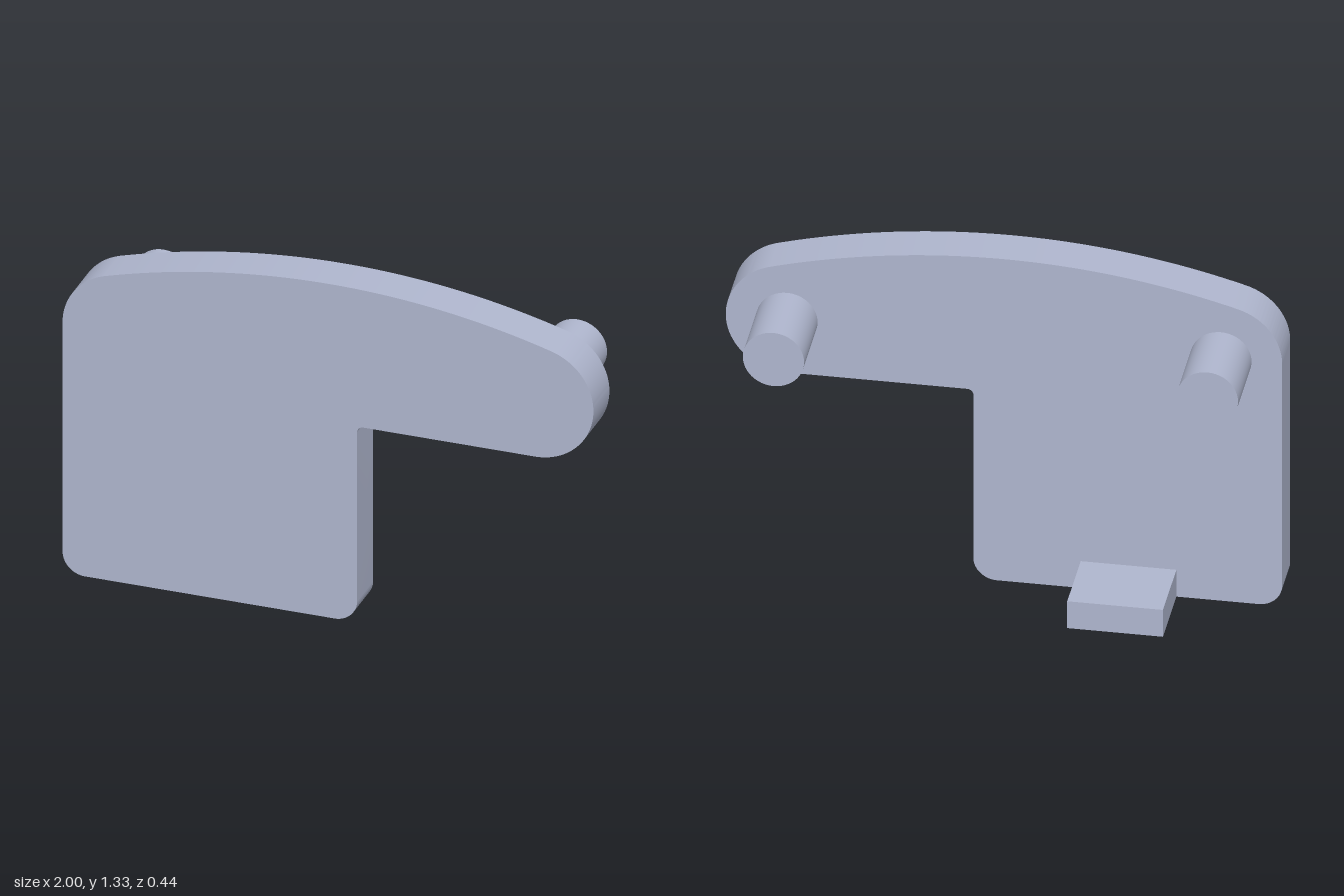
import * as THREE from 'three';
import { toCreasedNormals } from 'three/addons/utils/BufferGeometryUtils.js';

export function createModel() {
  const group = new THREE.Group();
  const material = new THREE.MeshStandardMaterial({ color: 0xb0b7cf });
  material.name = 'blue grey';

  const backZ = -0.222, plateZ = 0.056, frontZ = 0.222;
  const pegX = 0.78, pegY = 1.002, endR = 0.22;   // rounded shoulders, centred on the pegs
  const topY = 1.333, legX = 0.11, cornerR = 0.085, filletR = 0.022;
  const armY = pegY - endR;

  const add = (name, geometry, x, y, z) => {
    const mesh = new THREE.Mesh(geometry, material);
    mesh.name = name;
    mesh.position.set(x, y, z);
    group.add(mesh);
  };

  // Crown arc, tangent to both shoulders
  const rise = topY - pegY;
  const crownR = (pegX ** 2 + rise ** 2 - endR ** 2) / (2 * (rise - endR));
  const crownY = topY - crownR;
  const tangent = Math.atan2(pegY - crownY, pegX);

  // Plate outline, counter-clockwise from the lower left corner
  const PI = Math.PI;
  const outline = new THREE.Shape();
  outline.moveTo(-1 + cornerR, 0);
  outline.absarc(legX - cornerR, cornerR, cornerR, -PI / 2, 0, false);
  outline.absarc(legX + filletR, armY - filletR, filletR, PI, PI / 2, true);
  outline.absarc(pegX, pegY, endR, -PI / 2, tangent, false);
  outline.absarc(0, crownY, crownR, tangent, PI - tangent, false);
  outline.absarc(-pegX, pegY, endR, PI - tangent, PI, false);
  outline.absarc(-1 + cornerR, cornerR, cornerR, PI, 1.5 * PI, false);
  const plate = new THREE.ExtrudeGeometry(outline, {
    depth: frontZ - plateZ, bevelEnabled: false, curveSegments: 32,
  });
  add('plate', toCreasedNormals(plate, 0.5), 0, 0, plateZ);

  // Pegs and foot tab on the back
  const depth = plateZ - backZ;
  const midZ = (plateZ + backZ) / 2;
  for (const [name, side] of [['leftPeg', 1], ['rightPeg', -1]]) {
    const peg = new THREE.CylinderGeometry(0.11, 0.11, depth, 48).rotateX(PI / 2);
    add(name, peg, side * pegX, pegY, midZ);
  }
  add('footTab', new THREE.BoxGeometry(0.344, 0.111, depth), -0.448, 0.0555, midZ);

  return group;
}
